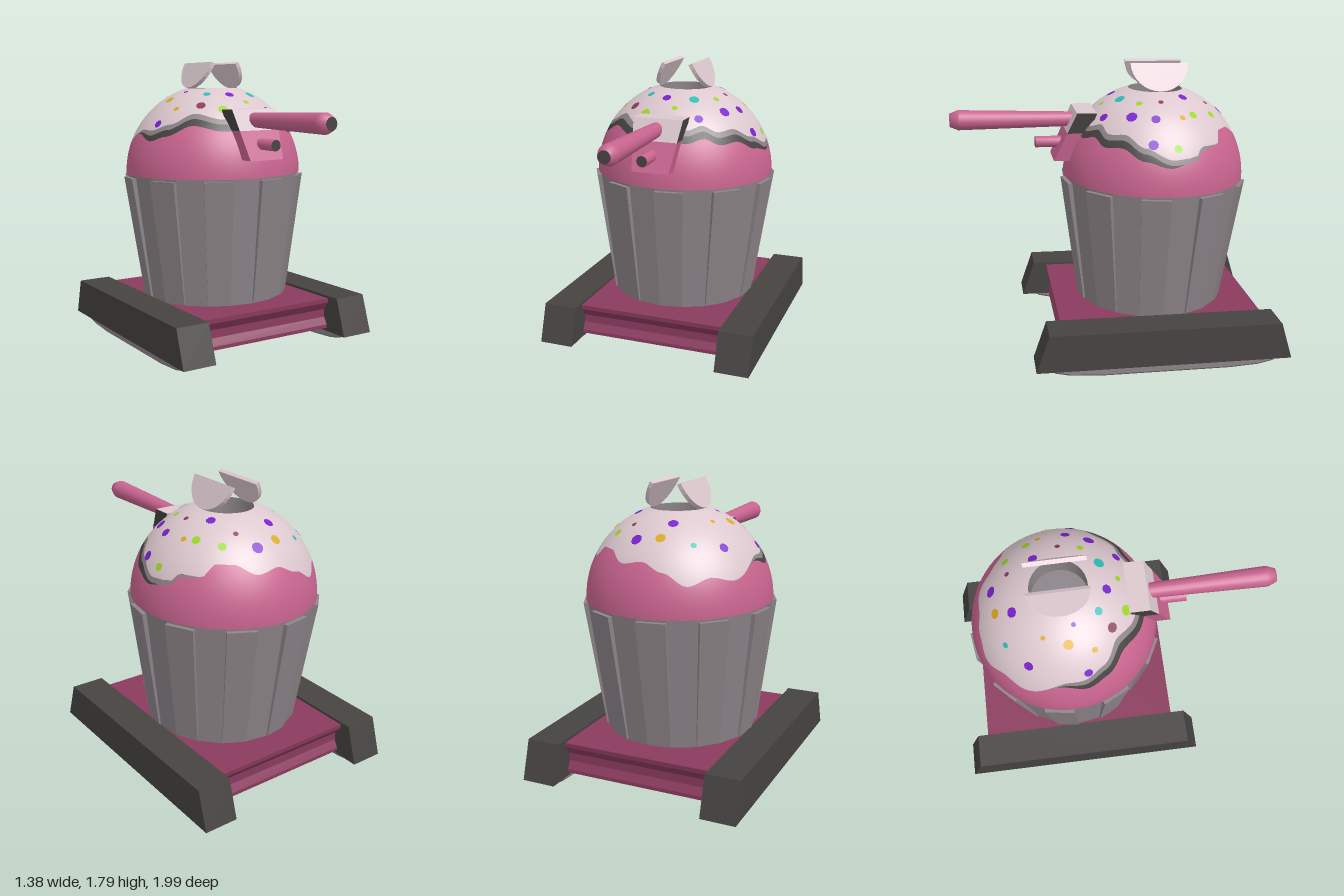
import * as THREE from 'three';

const paint = (name, color) => {
  const m = new THREE.MeshStandardMaterial({ color });
  m.name = name;
  return m;
};
const cream = paint('cream icing', 0xdcc8ce);
const pink = paint('pink', 0xc8648f);
const grey = paint('wrapper grey', 0x8c8488);
grey.side = THREE.DoubleSide;
const plum = paint('plum', 0x8a3b5e);
const dark = paint('dark grey', 0x464341);
const purple = paint('purple', 0x7a22cc);
const teal = paint('teal', 0x2cbcb4);
const lime = paint('lime', 0x9ad624);
const yellow = paint('yellow', 0xd8a820);

const { lerp, degToRad: rad } = THREE.MathUtils;
const CX = -0.01, CZ = -0.213, R = 0.56, DOME_Y = 1.105, HOLE = 0.165;

function add(parent, name, geo, mat, x = 0, y = 0, z = 0) {
  const m = new THREE.Mesh(geo, mat);
  m.name = name;
  m.position.set(x, y, z);
  parent.add(m);
  return m;
}

function flat(geo) {
  const g = geo.index ? geo.toNonIndexed() : geo;
  g.computeVertexNormals();
  return g;
}

// Side profile of [z, y] points, extruded across x and centred
function sideExtrude(points, width, bevel = 0) {
  const shape = new THREE.Shape(points.map(([z, y]) => new THREE.Vector2(z, y)));
  const depth = width - 2 * bevel;
  return new THREE.ExtrudeGeometry(shape, {
    depth, bevelEnabled: bevel > 0, bevelThickness: bevel, bevelSize: bevel, bevelOffset: -bevel, bevelSegments: 1,
  }).translate(0, 0, -depth / 2).rotateY(-Math.PI / 2);
}

// Reshapes a unit box: rule(x, t, front) gives the new [x, z], t runs 0..1 upward
function shapedBox(y0, y1, rule) {
  const g = new THREE.BoxGeometry(1, 1, 1);
  const p = g.attributes.position;
  for (let i = 0; i < p.count; i++) {
    const t = p.getY(i) + 0.5;
    const [x, z] = rule(p.getX(i), t, p.getZ(i) > 0);
    p.setXYZ(i, x, lerp(y0, y1, t), z);
  }
  g.computeVertexNormals();
  return g;
}

// Wavy lower edge of the icing: [degrees from the front towards +x, height above dome centre]
const EDGE = [[0, 0.28], [20, 0.265], [32, 0.29], [44, 0.25], [57, 0.26], [73, 0.2], [90, 0.165], [100, 0.185],
  [107, 0.2], [113, 0.255], [127, 0.265], [136, 0.335], [148, 0.335], [165, 0.28], [180, 0.3], [195, 0.25],
  [210, 0.18], [225, 0.22], [240, 0.19], [265, 0.26], [282, 0.22], [295, 0.25], [315, 0.315], [338, 0.28], [360, 0.28]];

function icingEdge(deg) {
  const i = Math.max(1, EDGE.findIndex(e => e[0] >= deg));
  const [a, ya] = EDGE[i - 1], [b, yb] = EDGE[i];
  const t = (deg - a) / (b - a);
  return lerp(ya, yb, t * t * (3 - 2 * t));
}
const frontness = deg => Math.min(1, Math.max(0, 2.5 * (Math.cos(rad(deg)) + 0.15)));
const darkTop = deg => icingEdge(deg) + 0.04 * frontness(deg);
const greyTop = deg => darkTop(deg) + 0.03 * Math.min(1, Math.max(0, 2 * (Math.cos(rad(deg - 10)) + 0.5)));

// Strip of the dome between two heights that vary around it
function domeBand(top, bottom, rows) {
  const n = 120, pos = [], idx = [];
  for (let i = 0; i <= n; i++) {
    const deg = i * 360 / n, a = rad(deg);
    const p0 = Math.acos(top(deg) / R), p1 = Math.acos(bottom(deg) / R);
    for (let j = 0; j <= rows; j++) {
      const p = lerp(p0, p1, j / rows);
      pos.push(R * Math.sin(p) * Math.sin(a), R * Math.cos(p), R * Math.sin(p) * Math.cos(a));
      if (i < n && j < rows) {
        const k = i * (rows + 1) + j, m = k + rows + 1;
        idx.push(k, k + 1, m + 1, k, m + 1, m);
      }
    }
  }
  const g = new THREE.BufferGeometry();
  g.setAttribute('position', new THREE.Float32BufferAttribute(pos, 3));
  g.setAttribute('normal', new THREE.Float32BufferAttribute(pos.map(v => v / R), 3));
  g.setIndex(idx);
  return g;
}

// Sprinkles by colour: [x, z, radius] measured from the dome centre
const SPRINKLES = [
  [purple, [[0.075, -0.385, 0.034], [-0.095, -0.27, 0.03], [-0.375, -0.215, 0.028], [0.2, -0.125, 0.028], [0.37, 0.07, 0.028],
    [0.47, 0.1, 0.03], [0.315, 0.2, 0.034], [-0.445, 0.11, 0.026], [-0.03, 0.265, 0.028], [0.2, 0.345, 0.028], [-0.22, 0.06, 0.014]]],
  [teal, [[-0.245, -0.33, 0.018], [-0.155, 0.205, 0.024], [0.135, 0.24, 0.032]]],
  [lime, [[0.245, -0.29, 0.025], [0.325, -0.16, 0.026], [0.245, 0.145, 0.02], [0.045, 0.335, 0.018], [-0.135, 0.36, 0.032], [0.49, -0.04, 0.024]]],
  [yellow, [[-0.065, -0.37, 0.03], [-0.265, -0.115, 0.014], [-0.315, 0.02, 0.03], [0.36, -0.09, 0.018], [-0.345, 0.16, 0.018]]],
  [plum, [[0.145, -0.28, 0.016], [0.265, 0.02, 0.016], [-0.235, 0.27, 0.03]]],
];

// Barrel pointing to +z from a lathe profile, with a dark muzzle
function barrel(parent, name, profile, y, muzzle) {
  const end = profile[profile.length - 1][1];
  const pts = [...profile, [0, end]].map(([r, z]) => new THREE.Vector2(r, z));
  add(parent, name, new THREE.LatheGeometry(pts, 20).rotateX(Math.PI / 2).toNonIndexed(), pink, -0.018, y, 0)
    .material.side = THREE.DoubleSide;
  add(parent, name + 'Muzzle', new THREE.CircleGeometry(muzzle, 20), dark, -0.018, y, end + 0.002);
}

export function createModel() {
  const model = new THREE.Group();
  model.name = 'cupcakeTank';
  const body = new THREE.Group();
  body.name = 'body';
  body.rotation.set(rad(-1.3), rad(-1.4), 0);
  model.add(body);

  // Hull with grooved ends
  const half = [[0.625, 0.313], [0.622, 0.285], [0.585, 0.235], [0.585, 0.185], [0.61, 0.14], [0.61, 0.118]];
  const hull = [...half, ...half.map(([z, y]) => [-z, y]).reverse()];
  add(body, 'hull', sideExtrude(hull, 0.96), plum, CX, 0, -0.21);

  // Track housings and treads
  for (const s of [-1, 1]) {
    const x = CX + s * 0.567;
    add(body, s < 0 ? 'trackHousingA' : 'trackHousingB',
      sideExtrude([[0.775, 0.097], [0.7, 0.328], [-0.7, 0.328], [-0.775, 0.097]], 0.21), dark, x, 0, -0.2);
    add(body, s < 0 ? 'treadA' : 'treadB', sideExtrude([[0.735, 0.13], [0.72, 0.09], [0.67, 0.058], [0.58, 0.038],
      [0.4, 0.025], [-0.4, 0.025], [-0.58, 0.036], [-0.67, 0.056], [-0.72, 0.09], [-0.735, 0.13]], 0.12, 0.014), grey, x, 0, -0.21);
  }

  // Pleated wrapper: faceted cup with ten raised panels
  const wrapper = new THREE.Group();
  wrapper.name = 'wrapper';
  wrapper.position.set(CX, 0, CZ);
  body.add(wrapper);
  add(wrapper, 'cup', flat(new THREE.CylinderGeometry(0.555, 0.455, 0.8, 20)), grey, 0, 0.71, 0);
  const panel = shapedBox(0.32, 1.09, (x, t, front) =>
    [x * lerp(0.142, 0.174, t), front ? lerp(0.462, 0.573, t) : lerp(0.44, 0.54, t)]);
  for (let k = 0; k < 10; k++) add(wrapper, 'wrapperPanel', panel, grey).rotation.y = rad(9 + 36 * k);

  // Dome with dripping icing
  const dome = new THREE.Group();
  dome.name = 'dome';
  dome.position.set(CX, DOME_Y, CZ);
  body.add(dome);
  const rim = Math.sqrt(R * R - HOLE * HOLE);
  add(dome, 'icing', domeBand(() => rim, greyTop, 14), cream);
  add(dome, 'icingShade', domeBand(greyTop, darkTop, 1), grey);
  add(dome, 'icingDrip', domeBand(darkTop, icingEdge, 1), dark);
  add(dome, 'cake', domeBand(icingEdge, () => 0, 10), pink);
  for (const [mat, spots] of SPRINKLES) for (const [x, z, r] of spots) {
    const n = new THREE.Vector3(x, Math.sqrt(R * R - x * x - z * z), z).normalize();
    const m = add(dome, 'sprinkle', new THREE.CircleGeometry(r, 9), mat);
    m.position.copy(n).multiplyScalar(R + 0.003);
    m.quaternion.setFromUnitVectors(new THREE.Vector3(0, 0, 1), n);
  }

  // Hatch well and its two open half-round doors
  add(dome, 'hatchWell', new THREE.CylinderGeometry(HOLE, HOLE, 0.14, 32, 1, true), grey, 0, rim - 0.07, 0);
  add(dome, 'hatchFloor', new THREE.CircleGeometry(HOLE, 32).rotateX(-Math.PI / 2), grey, 0, rim - 0.14, 0);
  const arc = [];
  for (let i = 0; i <= 16; i++) {
    const a = Math.PI * (1 + i / 16);
    arc.push([0.175 * Math.cos(a), 0.175 + 0.175 * Math.sin(a)]);
  }
  for (const s of [-1, 1])
    add(dome, 'hatchDoor', sideExtrude(arc, 0.025), cream, s * 0.165, rim, 0).rotation.z = s * rad(27);

  // Gun mount: sloped wedge, icing-coloured above and pink below
  const wedge = (y0, y1) => shapedBox(y0, y1, (x, t, front) => {
    const u = (lerp(y0, y1, t) - 1.217) / 0.298;
    return [x * lerp(0.23, 0.31, u), front ? lerp(0.418, 0.284, u) : lerp(0.27, 0.165, u)];
  });
  add(body, 'gunMountTop', wedge(1.39, 1.515), [dark, dark, cream, pink, cream, cream], CX, 0, 0);
  add(body, 'gunMountBase', wedge(1.217, 1.39), pink, CX, 0, 0);

  // Main and secondary barrels
  barrel(body, 'mainBarrel', [[0.042, 0.2], [0.06, 0.97], [0.06, 0.98], [0.04, 1.03]], 1.45, 0.037);
  barrel(body, 'smallBarrel', [[0.033, 0.3], [0.035, 0.52]], 1.31, 0.032);
  return model;
}
